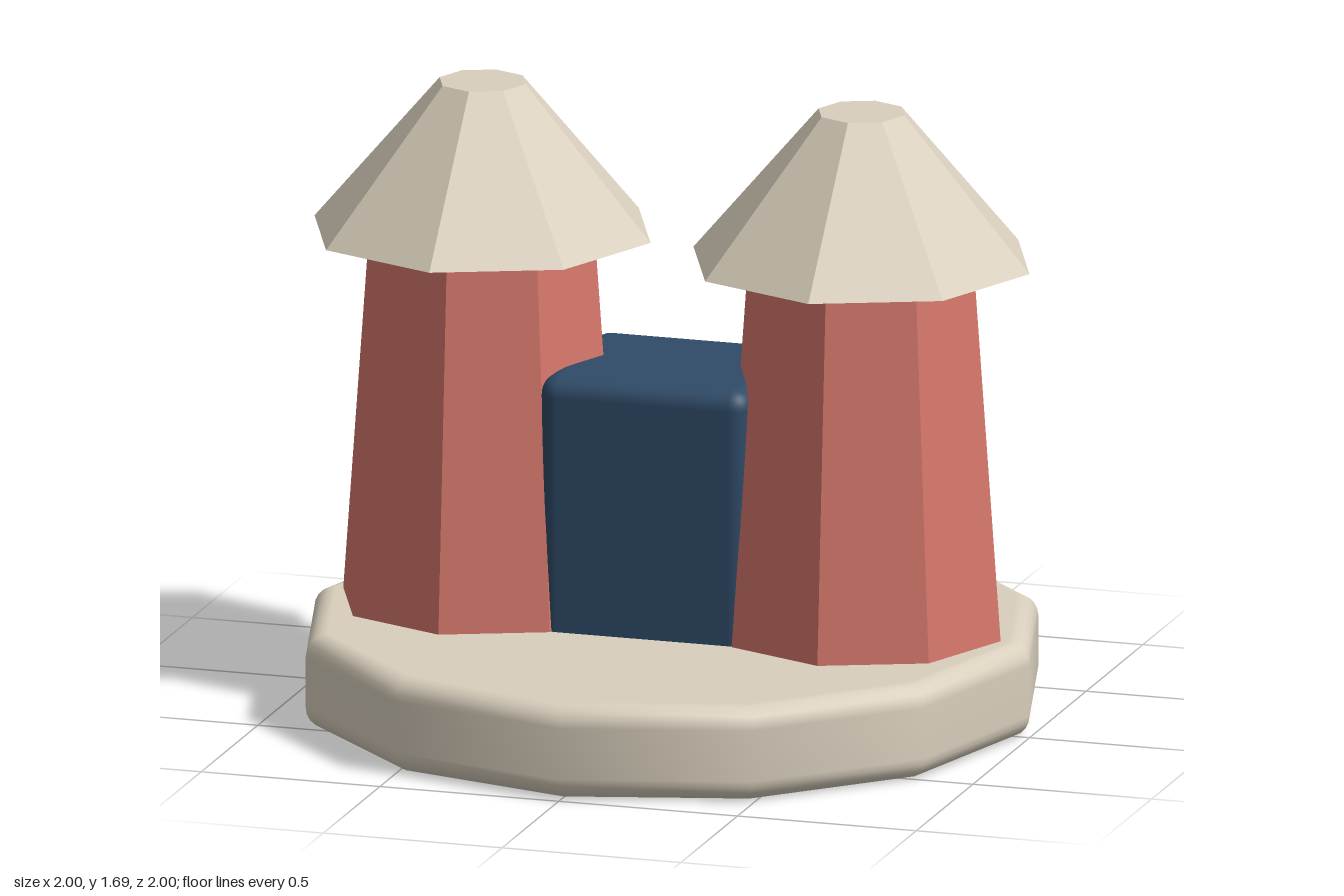
import * as THREE from 'three';
import { RoundedBoxGeometry } from 'three/addons/geometries/RoundedBoxGeometry.js';

const material = (name, color, flatShading = false) => {
  const m = new THREE.MeshStandardMaterial({ color, flatShading });
  m.name = name;
  return m;
};

export function createModel() {
  const model = new THREE.Group();
  model.name = 'twinTowers';

  const stone = material('cream stone', 0xd9cfbd);
  const brick = material('coral red', 0xd6786b);
  const blue = material('navy blue', 0x2f4b68);

  const add = (name, geometry, mat, x, y, parent = model) => {
    const mesh = new THREE.Mesh(geometry, mat);
    mesh.name = name;
    mesh.position.set(x, y, 0);
    parent.add(mesh);
    return mesh;
  };

  // Flat-faced eight-sided frustum standing on y = 0
  const frustum = (top, bottom, height) => {
    const g = new THREE.CylinderGeometry(top, bottom, height, 8).toNonIndexed();
    g.computeVertexNormals();
    return g.translate(0, height / 2, 0);
  };

  // Twelve-sided base disc with rounded rims
  const radius = 1, height = 0.26, bevel = 0.06, steps = 5;
  const profile = [new THREE.Vector2(0, 0)];
  for (const [cy, start] of [[bevel, -Math.PI / 2], [height - bevel, 0]]) {
    for (let i = 0; i <= steps; i++) {
      const a = start + (i / steps) * Math.PI / 2;
      profile.push(new THREE.Vector2(
        radius - bevel + bevel * Math.cos(a),
        cy + bevel * Math.sin(a)
      ));
    }
  }
  profile.push(new THREE.Vector2(0, height));
  add('base', new THREE.LatheGeometry(profile, 12), stone, 0, 0);

  // Two tapered towers with overhanging truncated roofs
  for (const [side, x] of [['right', -0.53], ['left', 0.53]]) {
    const tower = new THREE.Group();
    tower.name = side + 'Tower';
    tower.position.x = x;
    model.add(tower);
    add(side + 'TowerBody', frustum(0.315, 0.39, 1.03), brick, 0, 0.25, tower);
    add(side + 'TowerRoof', frustum(0.12, 0.47, 0.41), stone, 0, 1.28, tower);
  }

  // Rounded gatehouse block between the towers, sunk into the base
  add('gatehouse', new RoundedBoxGeometry(0.59, 0.78, 0.54, 4, 0.055), blue, 0, 0.57);

  return model;
}
